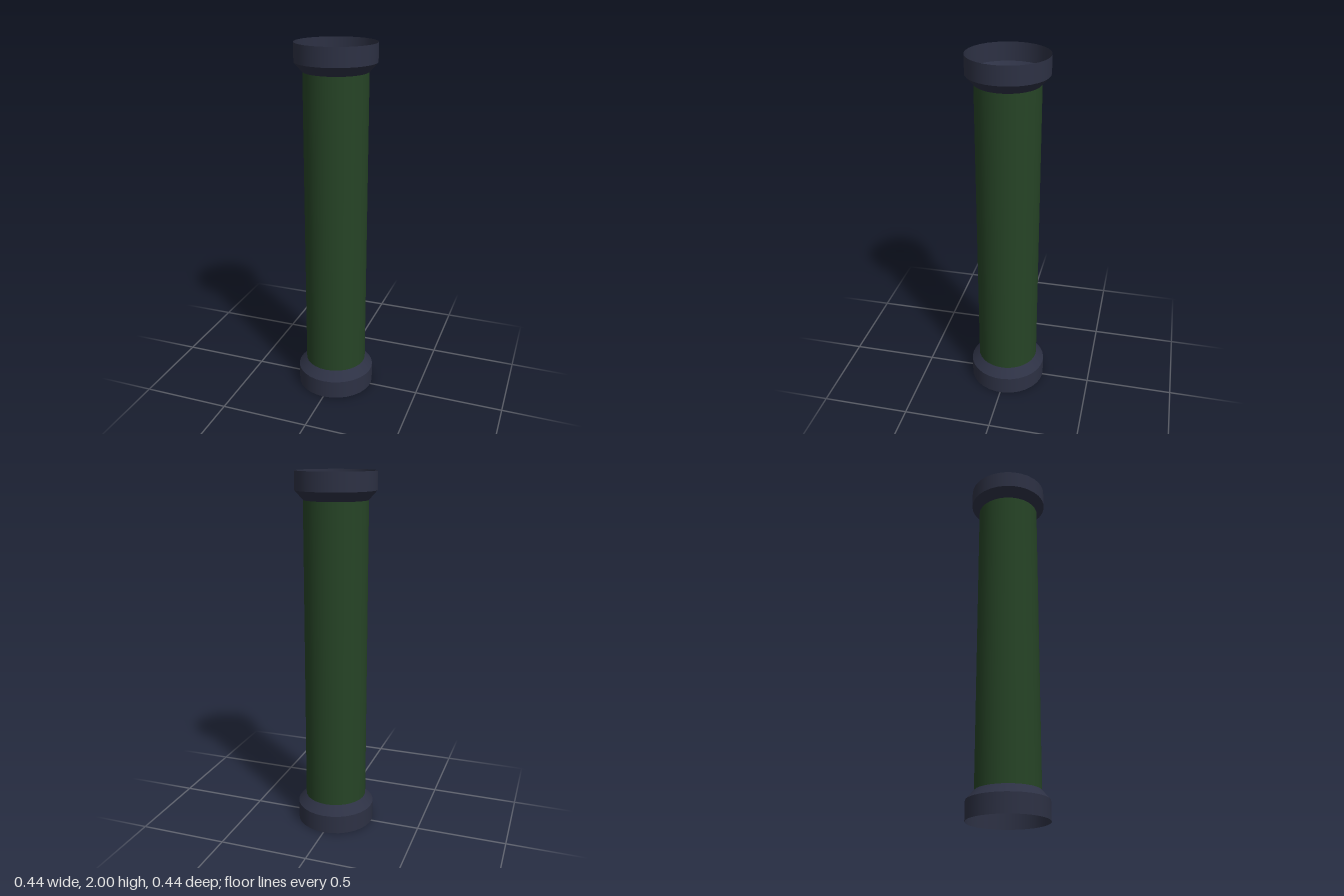
import * as THREE from 'three';

const SIDES = 30;
const TUBE_R = 0.174;
const RIM_R = 0.219;

export function createModel() {
  const group = new THREE.Group();
  const green = new THREE.MeshStandardMaterial({ color: 0x264426, side: THREE.DoubleSide });
  const navy = new THREE.MeshStandardMaterial({ color: 0x2d3144, side: THREE.DoubleSide });

  // Open-ended ring wall between two heights
  function ring(name, y0, y1, rBottom, rTop, material) {
    const geometry = new THREE.CylinderGeometry(rTop, rBottom, y1 - y0, SIDES, 1, true);
    const mesh = new THREE.Mesh(geometry, material);
    mesh.name = name;
    mesh.position.y = (y0 + y1) / 2;
    group.add(mesh);
  }

  // Main pipe
  ring('pipe', 0.155, 1.85, TUBE_R, TUBE_R, green);

  // Lower collar: straight rim and taper into the pipe
  ring('lowerRim', 0, 0.105, RIM_R, RIM_R, navy);
  ring('lowerTaper', 0.105, 0.155, RIM_R, TUBE_R, navy);

  // Upper collar
  ring('upperTaper', 1.85, 1.9, TUBE_R, RIM_R, navy);
  ring('upperRim', 1.9, 2, RIM_R, RIM_R, navy);

  return group;
}
